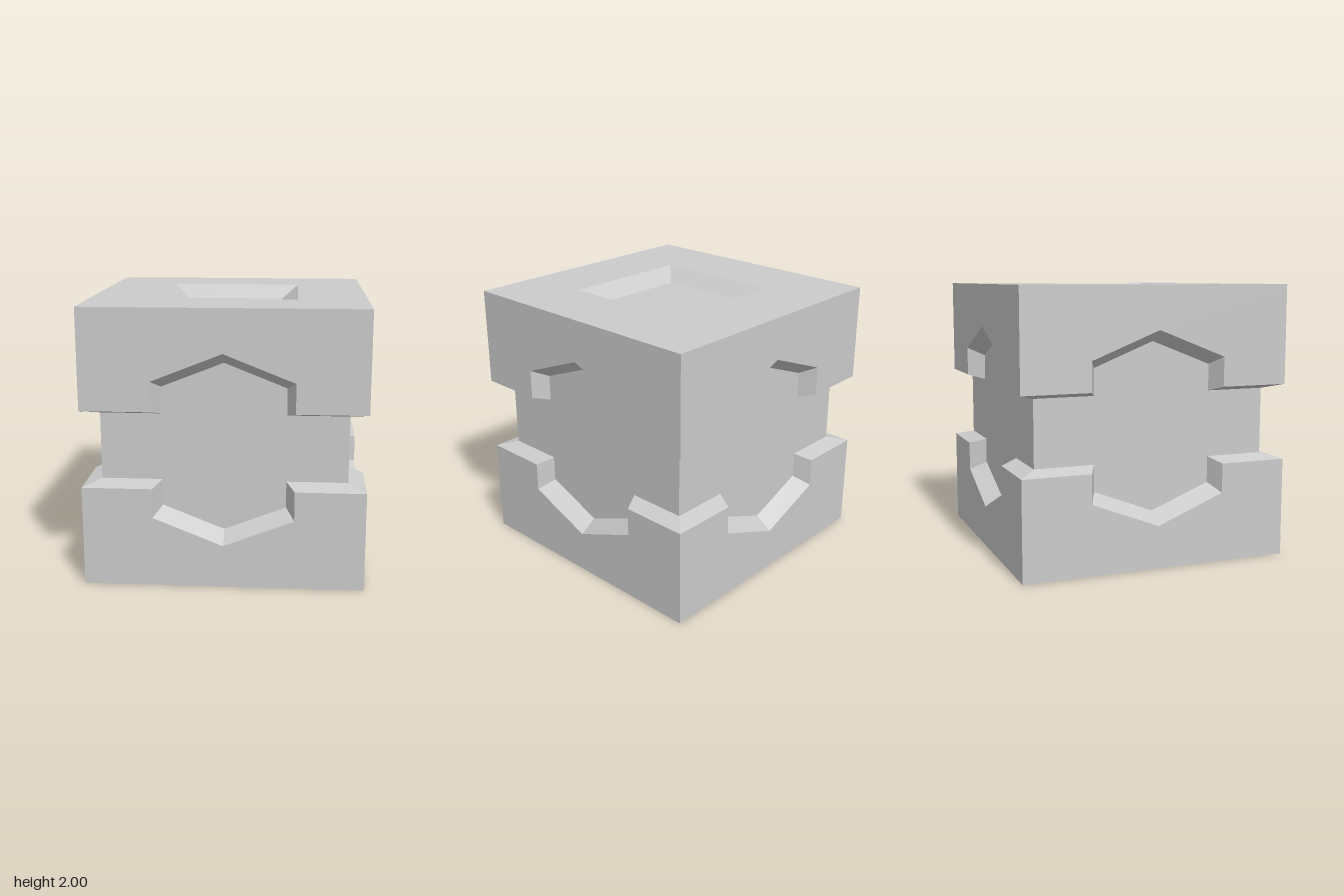
import * as THREE from 'three';

const material = new THREE.MeshStandardMaterial({ color: 0xcccccc, flatShading: true });
const vectors = (points) => points.map(([x, y]) => new THREE.Vector2(x, y));

// Flat panel in the xy plane at depth z, with an optional hole
function panel(name, points, z, hole) {
  const shape = new THREE.Shape(vectors(points));
  if (hole) shape.holes.push(new THREE.Path(vectors(hole)));
  const mesh = new THREE.Mesh(new THREE.ShapeGeometry(shape).translate(0, 0, z), material);
  mesh.name = name;
  return mesh;
}

// Sloped wall joining a raised edge to a sunken one, running clockwise round the recess
function bevel(name, outer, zOuter, inner, zInner) {
  const positions = [];
  for (let i = 0; i < outer.length - 1; i++) {
    const a = [...outer[i], zOuter], b = [...outer[i + 1], zOuter];
    const c = [...inner[i + 1], zInner], d = [...inner[i], zInner];
    positions.push(...a, ...d, ...b, ...b, ...d, ...c);
  }
  const geometry = new THREE.BufferGeometry();
  geometry.setAttribute('position', new THREE.Float32BufferAttribute(positions, 3));
  geometry.computeVertexNormals();
  const mesh = new THREE.Mesh(geometry, material);
  mesh.name = name;
  return mesh;
}

// Stepped, peaked edge from left to right
const notch = (end, x, base, shoulder, peak) => [
  [-end, base], [-x, base], [-x, shoulder], [0, peak], [x, shoulder], [x, base], [end, base],
];
const square = (r) => [[-r, -r], [-r, r], [r, r], [r, -r]];
const closed = (points) => [...points, points[0]];

const EDGE = notch(1, 0.5, 0.278, 0.492, 0.69);
const CORE_EDGE = notch(0.875, 0.44, 0.241, 0.433, 0.607);
const CORE_Z = 0.875, CAP_FLOOR = 0.9;

// One end block: four notched sides and a cap with a sunken square
function endBlock(name) {
  const block = new THREE.Group();
  block.name = name;
  for (let i = 0; i < 4; i++) {
    const side = new THREE.Group();
    side.name = 'notchedSide';
    side.add(
      panel('sidePanel', [...EDGE, [1, 1], [-1, 1]], 1),
      bevel('notchBevel', EDGE, 1, CORE_EDGE, CORE_Z),
    );
    side.rotation.y = i * Math.PI / 2;
    block.add(side);
  }
  const cap = new THREE.Group();
  cap.name = 'cap';
  cap.add(
    panel('capFrame', square(1), 1, square(0.5)),
    bevel('capBevel', closed(square(0.5)), 1, closed(square(0.375)), CAP_FLOOR),
    panel('capFloor', square(0.375), CAP_FLOOR),
  );
  cap.rotation.x = -Math.PI / 2;
  block.add(cap);
  return block;
}

export function createModel() {
  const model = new THREE.Group();
  model.name = 'notchedCube';
  const body = new THREE.Group();
  body.name = 'body';
  body.position.y = 1;
  model.add(body);

  // Matching upper and lower blocks
  const lower = endBlock('lowerBlock');
  lower.rotation.z = Math.PI;
  body.add(endBlock('upperBlock'), lower);

  // Sunken core faces between the blocks
  const outline = [...CORE_EDGE, ...CORE_EDGE.map(([x, y]) => [-x, -y])];
  for (let i = 0; i < 4; i++) {
    const face = panel('coreFace', outline, CORE_Z);
    face.rotation.y = i * Math.PI / 2;
    body.add(face);
  }
  return model;
}
